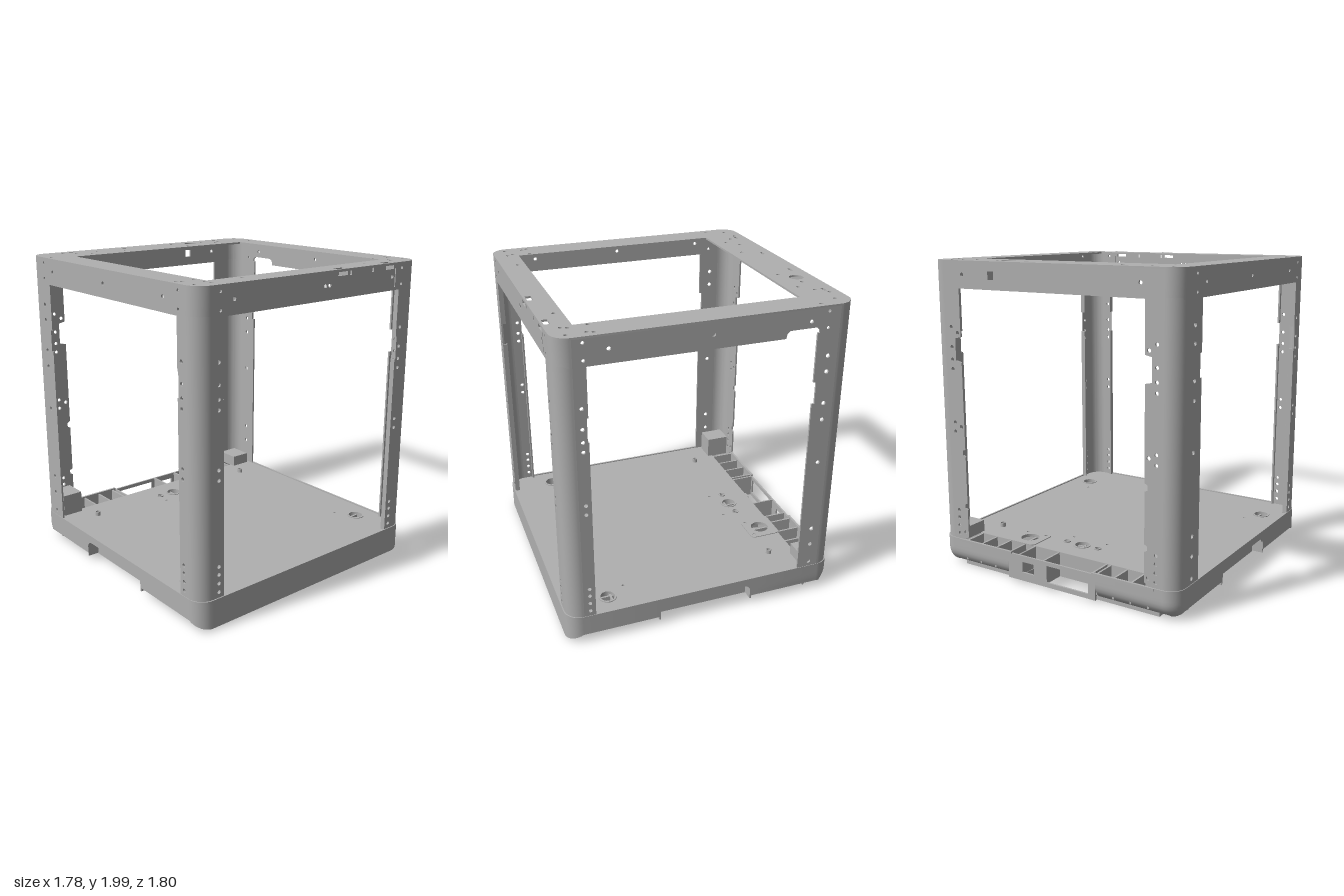
import * as THREE from 'three';
import { toCreasedNormals } from 'three/addons/utils/BufferGeometryUtils.js';

const T = 0.012; // sheet thickness
const X = 0.885, Z = 0.89, R = 0.1; // outer half sizes and corner radius

export function createModel() {
  const root = new THREE.Group();
  root.name = 'machineFrame';
  const grey = new THREE.MeshStandardMaterial({ color: 0xb0b0b0, side: THREE.DoubleSide });

  const add = (parent, name, geo) => {
    const m = new THREE.Mesh(geo, grey);
    m.name = name;
    parent.add(m);
    return m;
  };
  const group = (name) => {
    const g = new THREE.Group();
    g.name = name;
    root.add(g);
    return g;
  };
  // box given by its limits
  const box = (parent, name, x0, x1, y0, y1, z0, z1) => {
    const m = add(parent, name, new THREE.BoxGeometry(x1 - x0, y1 - y0, z1 - z0));
    m.position.set((x0 + x1) / 2, (y0 + y1) / 2, (z0 + z1) / 2);
    return m;
  };
  const mirror = (g, name) => {
    const c = g.clone();
    c.name = name;
    c.scale.x = -1;
    root.add(c);
  };
  const circle = (x, y, r = 0.012) => new THREE.Path().absarc(x, y, r, 0, Math.PI * 2, true);
  const rect = (x0, x1, y0, y1) => new THREE.Path([[x0, y0], [x0, y1], [x1, y1], [x1, y0]].map(p => new THREE.Vector2(...p)));
  const outline = (pts) => new THREE.Shape(pts.map(p => new THREE.Vector2(...p)));
  const extrude = (shape, holes, depth) => {
    shape.holes.push(...holes);
    return toCreasedNormals(new THREE.ExtrudeGeometry(shape, { depth, bevelEnabled: false, curveSegments: 8 }), 0.6);
  };
  // sheet facing front or back, outer face at z
  const sheetZ = (parent, name, pts, holes, z) => {
    const m = add(parent, name, extrude(outline(pts), holes, T));
    m.position.z = z > 0 ? z - T : z;
    return m;
  };
  // sheet facing +x, drawn in (z, y), outer face at x
  const sheetX = (parent, name, pts, holes, x, depth) => {
    const m = add(parent, name, extrude(outline(pts), holes, depth || T));
    m.rotation.y = -Math.PI / 2;
    m.position.x = x;
    return m;
  };
  // horizontal plate drawn in (x, -z)
  const plate = (parent, name, shape, holes, y0, y1) => {
    const g = extrude(shape, holes, y1 - y0);
    g.rotateX(-Math.PI / 2);
    g.translate(0, y0, 0);
    return add(parent, name, g);
  };
  // quarter round of sheet at the +x corner, sz is the sign of z
  const corner = (parent, name, sz, y0, y1) => {
    const s = new THREE.Shape();
    const a = sz > 0 ? -Math.PI / 2 : 0;
    s.absarc(X - R, -sz * (Z - R), R, a, a + Math.PI / 2, false);
    s.absarc(X - R, -sz * (Z - R), R - T, a + Math.PI / 2, a, true);
    return plate(parent, name, s, [], y0, y1);
  };
  const roundRect = (x0, x1, y0, y1, r) => {
    const s = new THREE.Shape();
    s.absarc(x1 - r, y1 - r, r, 0, Math.PI / 2);
    s.absarc(x0 + r, y1 - r, r, Math.PI / 2, Math.PI);
    s.absarc(x0 + r, y0 + r, r, Math.PI, Math.PI * 1.5);
    s.absarc(x1 - r, y0 + r, r, Math.PI * 1.5, Math.PI * 2);
    return s;
  };

  // front columns: rounded corner, two arms with screw holes, return lips
  const rows = [1.59, 1.465, 1.385, 1.325, 0.98, 0.92, 0.395, 0.345, 0.29, 0.235];
  const front = group('frontLeftColumn');
  corner(front, 'columnCorner', 1, 0.19, 1.84);
  const arm = (e, o) => [[e, 0.19], [o, 0.19], [o, 1.84], [e, 1.84], [e, 1.53], [e + 0.008, 1.53], [e + 0.008, 1.38], [e, 1.38]];
  sheetZ(front, 'columnFrontArm', arm(0.705, X - R), rows.map(y => circle(0.74, y)), Z);
  sheetX(front, 'columnSideArm', arm(0.715, Z - R), rows.map(y => circle(0.75, y)), X);
  for (const [y0, y1] of [[0.19, 1.38], [1.53, 1.84]]) {
    box(front, 'frontArmLip', 0.705, 0.705 + T, y0, y1, Z - 0.032, Z - T);
    box(front, 'sideArmLip', X - 0.032, X - T, y0, y1, 0.715, 0.715 + T);
  }
  mirror(front, 'frontRightColumn');

  // rear columns: wider arms with notches
  const rear = group('rearLeftColumn');
  corner(rear, 'columnCorner', -1, 0.19, 1.84);
  const e = 0.665, n = 0.71;
  sheetZ(rear, 'columnBackArm', [[e, 0.22], [n, 0.19], [X - R, 0.19], [X - R, 1.84], [n, 1.84], [e, 1.83], [e, 1.53], [n, 1.52],
    [n, 1.38], [e, 1.37], [e, 0.81], [e + 0.02, 0.8], [e + 0.02, 0.77], [e, 0.76], [e, 0.45], [e + 0.02, 0.44], [e + 0.02, 0.415], [e, 0.405]],
    [1.555, 0.955, 0.25].map(y => circle(0.69, y, 0.013)).concat(rows.map(y => circle(0.74, y))), -Z);
  sheetX(rear, 'columnSideArm', [[-0.65, 0.19], [-0.65, 1.39], [-0.668, 1.39], [-0.668, 1.53], [-0.65, 1.53], [-0.65, 1.84], [-Z + R, 1.84], [-Z + R, 0.19]],
    [1.69, 1.59, 1.385, 1.275, 0.98, 0.49, 0.37, 0.235].map(y => circle(-0.73, y, 0.014)), X);
  mirror(rear, 'rearRightColumn');

  // top frame: plate with a large opening and a skirt below it
  const top = group('topFrame');
  const topHoles = [rect(-0.7, 0.7, -0.735, 0.62), circle(0.355, 0.78, 0.045)];
  for (const s of [-1, 1]) {
    for (const [x, z] of [[0.84, 0.655], [0.825, 0.69], [0.835, 0.805], [0.735, 0.77], [0.72, 0.655], [0.72, 0.805], [0.49, 0.785],
      [0.845, -0.68], [0.79, -0.8], [0.53, -0.7], [0.27, -0.7], [0.61, -0.77], [0.45, -0.77], [0.675, -0.83]]) topHoles.push(circle(s * x, -z));
    for (const x of [0.625, 0.2]) topHoles.push(rect(s * x - 0.025, s * x + 0.025, 0.812, 0.83));
  }
  for (const x of [0.195, 0.61]) topHoles.push(rect(x - 0.038, x + 0.038, -0.875, -0.84));
  plate(top, 'topPlate', roundRect(-X, X, -Z, Z, R), topHoles, 2 - T, 2);
  const y0 = 1.83, y1 = 2 - T;
  const band = (w) => [[-w, y0], [w, y0], [w, y1], [-w, y1]];
  sheetZ(top, 'frontSkirt', band(X - R), [rect(0.155, 0.233, 1.962, 1.985), rect(0.572, 0.648, 1.962, 1.985), rect(0.253, 0.268, 1.96, 1.985),
    rect(0.447, 0.462, 1.96, 1.985), rect(0.66, 0.668, 1.85, 1.965), ...[-0.635, 0.05, 0.085, 0.635].map(x => circle(x, 1.915)),
    ...[-0.73, 0.725].flatMap(x => [circle(x, 1.965, 0.01), circle(x, 1.865, 0.01)])], Z);
  sheetZ(top, 'backSkirt', band(X - R), [rect(0.385, 0.43, 1.89, 1.94), circle(-0.635, 1.915), circle(0.635, 1.915)], -Z);
  const sideHoles = () => [0.59, -0.005, -0.605].map(z => circle(z, 1.915)).concat([0.73, -0.715].flatMap(z => [circle(z, 1.965, 0.01), circle(z, 1.865, 0.01)]));
  sheetX(top, 'leftSkirt', [[-Z + R, y0], [-0.665, y0], [-0.66, 1.86], [-0.64, 1.875], [-0.475, 1.875], [-0.455, 1.86], [-0.45, y0], [Z - R, y0], [Z - R, y1], [-Z + R, y1]], sideHoles(), X);
  sheetX(top, 'rightSkirt', band(Z - R), sideHoles(), -X + T);
  for (const s of [-1, 1]) {
    corner(top, 'skirtCorner', s, y0, y1);
    corner(top, 'skirtCorner', s, y0, y1).scale.x = -1;
  }

  // base wall: closed sweep with grip notches at the sides and a tucked under rear
  const base = group('base');
  const BX = 0.888, ZF = 0.897, ZB = -0.897;
  const path = [];
  const bend = (cx, cz, a0) => {
    for (let i = 0; i <= 8; i++) {
      const a = a0 + (i / 8) * Math.PI / 2;
      path.push([cx + R * Math.cos(a), cz + R * Math.sin(a), Math.cos(a), Math.sin(a)]);
    }
  };
  const grip = [-0.321, -0.32, -0.31, -0.29, -0.27, 0.25, 0.27, 0.29, 0.3, 0.301];
  grip.forEach(z => path.push([BX, z, 1, 0]));
  bend(BX - R, ZF - R, 0);
  bend(-BX + R, ZF - R, Math.PI / 2);
  [...grip].reverse().forEach(z => path.push([-BX, z, -1, 0]));
  bend(-BX + R, ZB + R, Math.PI);
  path.push([-0.33, ZB, 0, -1], [0.33, ZB, 0, -1]);
  bend(BX - R, ZB + R, Math.PI * 1.5);
  const lowEdge = (z) => {
    if (Math.abs(z) > 0.797) return 0.065 - 0.045 * Math.min(1, (Math.abs(z) - 0.797) / 0.1);
    const d = 0.3105 - Math.abs(z + 0.01);
    if (d < 0) return 0.065;
    return d < 0.05 ? 0.1 + 0.05 * Math.sqrt(1 - (1 - d / 0.05) ** 2) : 0.15;
  };
  const N = 8, pos = [], idx = [];
  const section = path.map(([x, z, nx, nz]) => {
    const rearness = Math.max(0, Math.min(1, (-0.797 - z) / 0.1)), low = lowEdge(z), ring = [];
    for (let side = 0; side < 2; side++) for (let k = 0; k <= N; k++) {
      const y = 0.2 - (0.2 - low) * (side ? N - k : k) / N;
      const t = Math.max(0, Math.min(1, (0.12 - y) / 0.1));
      const inset = rearness * 0.1 * (1 - Math.sqrt(1 - t * t)) + side * T;
      ring.push([x - nx * inset, y, z - nz * inset]);
    }
    return ring;
  });
  section.forEach(r => r.forEach(p => pos.push(...p)));
  const M = 2 * (N + 1);
  path.forEach((p, i) => {
    const j = (i + 1) % path.length;
    if (p[1] === ZB && p[0] === -0.33) return; // space for the socket panel
    for (let k = 0; k < M; k++) {
      const l = (k + 1) % M;
      idx.push(i * M + k, j * M + k, i * M + l, j * M + k, j * M + l, i * M + l);
    }
  });
  const wall = new THREE.BufferGeometry();
  wall.setAttribute('position', new THREE.Float32BufferAttribute(pos, 3));
  wall.setIndex(idx);
  add(base, 'baseWall', toCreasedNormals(wall.toNonIndexed(), 0.6));

  // floor with cups, pins and an inset plate
  const cups = [[-0.74, 0.6], [0.74, 0.6], [0, -0.555]];
  const floorHoles = cups.map(([x, z]) => circle(x, -z, 0.048)).concat([circle(0.365, 0.63, 0.06)]);
  for (const s of [-1, 1]) floorHoles.push(circle(s * 0.12, 0.555, 0.014), circle(s * 0.13, 0.46, 0.009), circle(s * 0.665, -0.475, 0.009));
  const floor = new THREE.Shape();
  floor.moveTo(-0.878, 0.72).lineTo(-0.878, -0.787);
  floor.absarc(-0.778, -0.787, 0.1, Math.PI, Math.PI * 1.5);
  floor.absarc(0.778, -0.787, 0.1, Math.PI * 1.5, Math.PI * 2);
  floor.lineTo(0.878, 0.72);
  plate(base, 'floorPlate', floor, floorHoles, 0.178, 0.193);
  plate(base, 'insetPlate', roundRect(0.26, 0.47, 0.525, 0.735, 0.03), [circle(0.365, 0.63, 0.06), circle(0.29, 0.555), circle(0.44, 0.555)], 0.193, 0.198);
  const tube = (name, x, z, r, h, y) => {
    const p = new THREE.Shape().absarc(x, -z, r, 0, Math.PI * 2);
    plate(base, name, p, [circle(x, -z, r * 0.8)], y, y + h);
  };
  for (const [x, z] of cups) tube('floorCup', x, z, 0.058, 0.14, 0.058);
  for (const s of [-1, 1]) {
    tube('floorPin', s * 0.66, -0.555, 0.018, 0.03, 0.19);
    tube('floorEyelet', s * 0.12, -0.555, 0.024, 0.008, 0.192);
  }

  // ribs below the floor
  for (let i = -4; i <= 4; i++) box(base, 'lengthRib', i * 0.18 - 0.006, i * 0.18 + 0.006, 0.065, 0.18, -0.72, 0.885);
  for (let i = 0; i < 9; i++) {
    const z = -0.72 + i * 0.185;
    box(base, 'crossRib', -0.795, 0.795, 0.065, 0.18, z - 0.006, z + 0.006);
  }
  for (const s of [-1, 1]) for (let i = -3; i <= 4; i++) {
    const z = i * 0.185 + 0.02;
    if (Math.abs(z) > 0.32) box(base, 'edgeRib', s * 0.837 - 0.044, s * 0.837 + 0.044, 0.065, 0.18, z - 0.005, z + 0.005);
  }

  // rear trough: dividers, bottom, feet and corner blocks
  box(base, 'troughFrontWall', -0.86, 0.86, 0.03, 0.193, -0.726, -0.714);
  for (const s of [-1, 1]) {
    for (const x of [0.33, 0.45, 0.57, 0.69]) box(base, 'troughDivider', s * x - 0.006, s * x + 0.006, 0.06, 0.19, -0.885, -0.72);
    box(base, 'troughBottom', s * 0.55 - 0.22, s * 0.55 + 0.22, 0.02, 0.032, -0.805, -0.72);
    box(base, 'rearFoot', s * 0.49 - 0.25, s * 0.49 + 0.25, 0.006, 0.05, -0.84, -0.64);
    box(base, 'rearRidge', s * 0.52 - 0.215, s * 0.52 + 0.215, 0.185, 0.2, -0.9, -0.885);
  }
  box(base, 'cornerBlock', -0.85, -0.71, 0.19, 0.34, -0.85, -0.69);
  box(base, 'cornerBlock', 0.71, 0.85, 0.19, 0.27, -0.85, -0.69);

  // socket panel at the back with two openings
  sheetZ(base, 'socketPanel', [[-0.33, 0.025], [0.33, 0.025], [0.33, 0.19], [-0.33, 0.19]],
    [rect(0.13, 0.22, 0.08, 0.15), rect(-0.28, 0.03, 0.055, 0.165)], -0.895);
  for (const x of [-0.3, 0.06, 0.25]) box(base, 'socketWall', x - 0.006, x + 0.006, 0.03, 0.19, -0.89, -0.72);

  // hand grips recessed in both sides
  const handle = group('leftHandGrip');
  const gripShape = [[-0.32, 0.035], [0.3, 0.035], [0.3, 0.115], [0.285, 0.138], [0.26, 0.15], [-0.28, 0.15], [-0.305, 0.138], [-0.32, 0.115]];
  sheetX(handle, 'gripBack', gripShape, [], 0.81);
  box(handle, 'gripTop', 0.8, 0.885, 0.148, 0.158, -0.29, 0.27);
  for (const z of [-0.322, 0.302]) box(handle, 'gripEnd', 0.8, 0.884, 0.04, 0.13, z - 0.005, z + 0.005);
  mirror(handle, 'rightHandGrip');

  return root;
}
